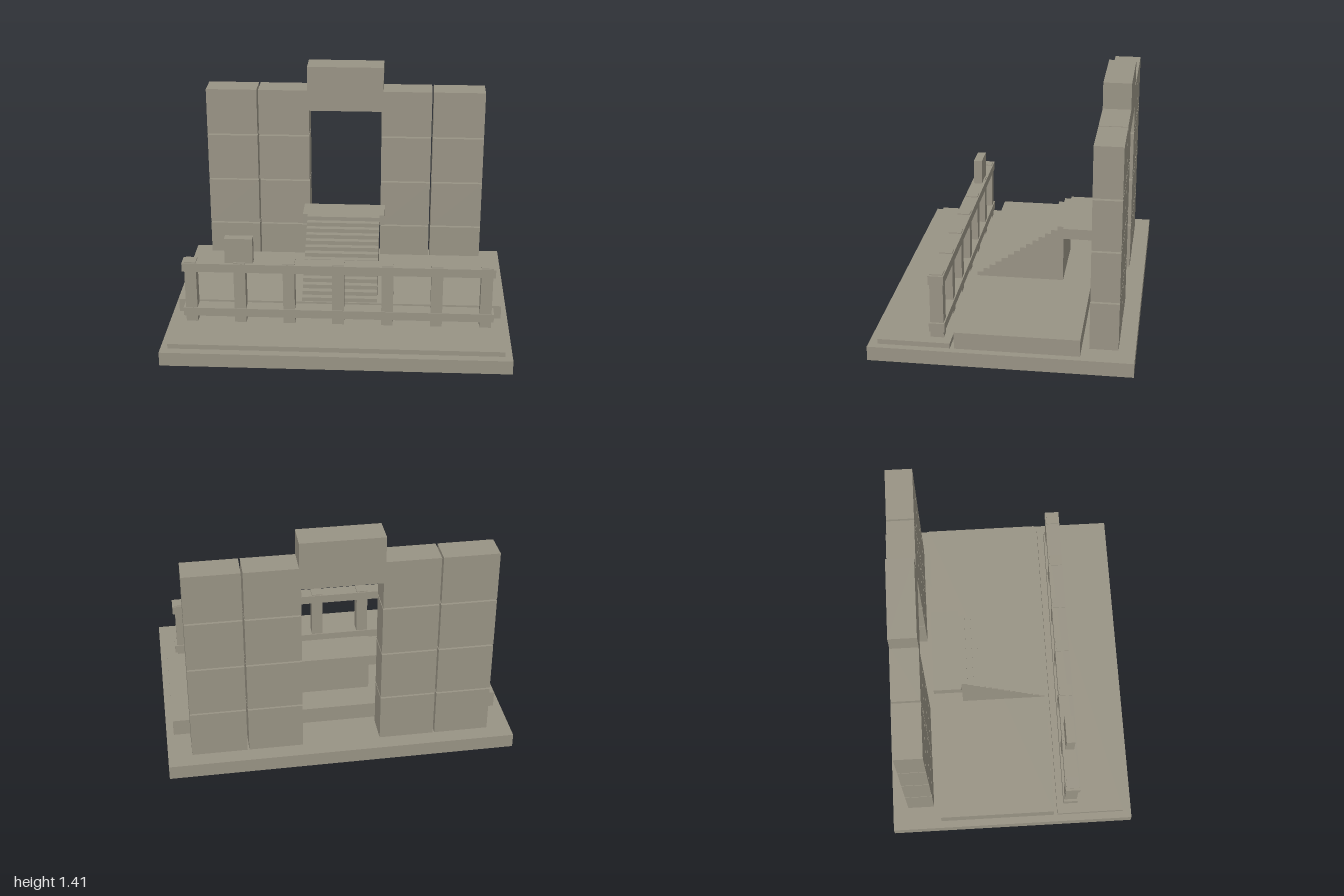
import * as THREE from 'three';

export function createModel() {
  const model = new THREE.Group();
  model.name = 'stoneGateway';
  const stone = new THREE.MeshStandardMaterial({ color: 0x989384 });
  stone.name = 'weathered stone';

  const add = (parent, name, geometry) => {
    const mesh = new THREE.Mesh(geometry, stone);
    mesh.name = name;
    parent.add(mesh);
    return mesh;
  };
  // Box given by its extents on each axis
  const box = (parent, name, [x0, x1], [y0, y1], [z0, z1]) => {
    const mesh = add(parent, name, new THREE.BoxGeometry(x1 - x0, y1 - y0, z1 - z0));
    mesh.position.set((x0 + x1) / 2, (y0 + y1) / 2, (z0 + z1) / 2);
    return mesh;
  };
  const group = (name) => {
    const g = new THREE.Group();
    g.name = name;
    model.add(g);
    return g;
  };
  const extrude = (points, depth) => new THREE.ExtrudeGeometry(
    new THREE.Shape(points.map(([x, y]) => new THREE.Vector2(x, y))),
    { depth, bevelEnabled: false });

  // Ground slabs
  box(model, 'base', [-1, 1], [0, 0.083], [-0.733, 0.733]);
  box(model, 'frontPaving', [-0.958, 0.958], [0.083, 0.112], [0.277, 0.682]);
  box(model, 'platform', [-0.958, 0.958], [0.083, 0.181], [-0.438, 0.254]);

  // Block wall: two columns on each side of the doorway
  const wall = group('blockWall');
  const rows = [[0.083, 0.361], [0.371, 0.661], [0.671, 0.96], [0.97, 1.26]];
  const columns = [[-0.864, -0.55], [-0.54, -0.225], [0.225, 0.535], [0.545, 0.862]];
  for (const row of rows)
    for (const column of columns) box(wall, 'wallBlock', column, row, [-0.64, -0.48]);

  // Lintel, slightly wider above the wall top
  const lintel = add(wall, 'lintel', extrude([
    [-0.225, 1.13], [0.225, 1.13], [0.225, 1.26], [0.235, 1.26],
    [0.235, 1.412], [-0.235, 1.412], [-0.235, 1.26], [-0.225, 1.26],
  ], 0.16));
  lintel.position.z = -0.64;

  // Staircase: side profile (x = -z) extruded across its width
  const stairs = group('staircase');
  const steps = 14, start = -0.245, end = 0.268, bottom = 0.181, top = 0.524;
  const profile = [[end, bottom], [end, top]];
  for (let i = steps - 1; i >= 0; i--) {
    const x = start + (end - start) * i / steps;
    profile.push([x, bottom + (top - bottom) * (i + 1) / steps]);
    profile.push([x, bottom + (top - bottom) * i / steps]);
  }
  const flight = add(stairs, 'steps', extrude(profile, 0.446));
  flight.rotation.y = Math.PI / 2;
  flight.position.x = -0.223;
  box(stairs, 'landing', [-0.254, 0.254], [0.461, 0.524], [-0.438, -0.268]);

  // Balustrade
  const fence = group('balustrade');
  for (let i = -3; i <= 3; i++) {
    const x = i * 0.286;
    box(fence, 'post', [x - 0.034, x + 0.034], [0.112, 0.493], [0.322, 0.396]);
  }
  box(fence, 'lowerRail', [-0.906, 0.906], [0.15, 0.201], [0.315, 0.402]);
  box(fence, 'upperRail', [-0.906, 0.906], [0.435, 0.487], [0.315, 0.402]);
  box(fence, 'plaque', [-0.656, -0.493], [0.487, 0.64], [0.332, 0.383]);

  return model;
}
